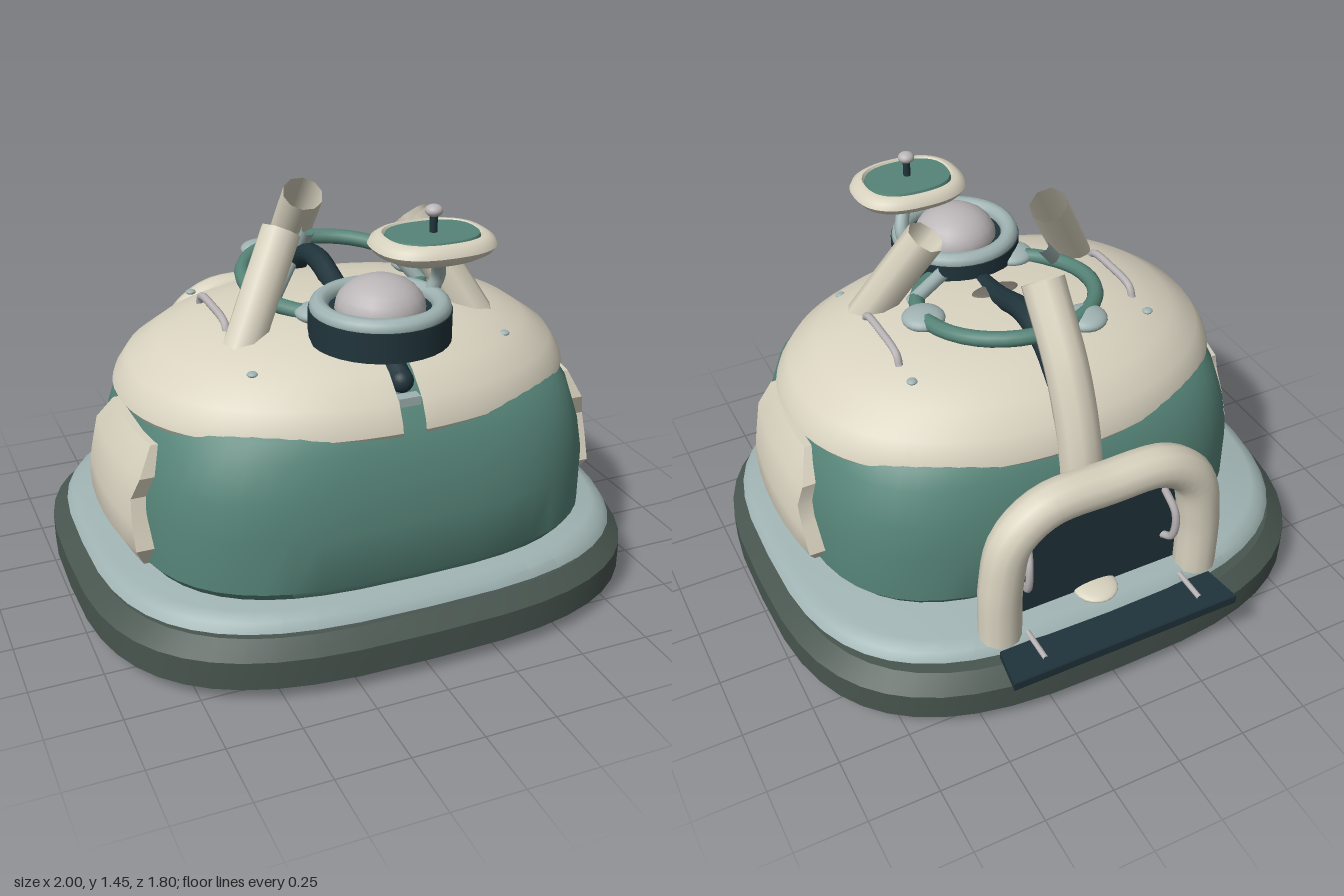
import * as THREE from 'three';
import { toCreasedNormals } from 'three/addons/utils/BufferGeometryUtils.js';

const CREAM = 0xd8d2bf, GREEN = 0x568478, PALE = 0x9fb3b2, NAVY = 0x20343b, BASE = 0x48554f, GREY = 0xbab5b6;
const V = (x, y, z) => new THREE.Vector3(x, y, z);

export function createModel() {
  const model = new THREE.Group();

  const add = (name, geo, color, pos = [0, 0, 0], open = false) => {
    const mat = new THREE.MeshStandardMaterial({ color, side: open ? THREE.DoubleSide : THREE.FrontSide });
    const mesh = new THREE.Mesh(geo, mat);
    mesh.name = name;
    mesh.position.set(...pos);
    model.add(mesh);
    return mesh;
  };

  // Indexed grid of points (rows x columns) turned into a surface
  const grid = (rows, cols, point, crease = 0.6) => {
    const p = [], idx = [];
    for (let i = 0; i < rows; i++) for (let j = 0; j < cols; j++) p.push(...point(i, j));
    for (let i = 0; i < rows - 1; i++) for (let j = 0; j < cols - 1; j++) {
      const a = i * cols + j, b = a + 1, c = a + cols, d = c + 1;
      idx.push(a, b, d, a, d, c);
    }
    const g = new THREE.BufferGeometry();
    g.setAttribute('position', new THREE.Float32BufferAttribute(p, 3));
    g.setIndex(idx);
    return toCreasedNormals(g, crease);
  };

  // Stacked superellipse rings: [y, rx, rz, exponent], centred on cz
  const loft = (rows, cz = 0, warp = p => p, seg = 48, crease = 0.6) => grid(rows.length, seg + 1, (i, j) => {
    const [y, rx, rz, n = 2] = rows[i], t = j / seg * Math.PI * 2;
    const s = Math.sin(t), c = Math.cos(t), e = 2 / n;
    const x = Math.sign(s) * Math.abs(s) ** e * rx, z = Math.sign(c) * Math.abs(c) ** e * rz;
    return warp([x, y, z + cz], j / seg);
  }, crease);

  const tube = (name, pts, r, color, sides = 10, open = false, seg = 24) =>
    add(name, new THREE.TubeGeometry(new THREE.CatmullRomCurve3(pts.map(p => V(...p))), seg, r, sides), color, [0, 0, 0], open);

  const ball = (name, r, color, pos, sy = 1) => {
    const m = add(name, new THREE.SphereGeometry(r, 20, 14), color, pos);
    m.scale.y = sy;
    return m;
  };

  // Base skirt, its pale rim and the hub underneath
  add('baseSkirt', loft([[0.02, 0.001, 0.001, 3], [0.02, 0.95, 0.83, 3], [0.05, 1, 0.875, 3], [0.15, 1, 0.875, 3],
    [0.2, 0.94, 0.82, 3], [0.2, 0.001, 0.001, 3]], 0.02), BASE);
  add('baseRim', loft([[0.2, 0.92, 0.79, 3], [0.23, 0.95, 0.82, 3], [0.26, 0.93, 0.805, 3], [0.28, 0.89, 0.77, 3],
    [0.285, 0.001, 0.001, 3]], 0.04), PALE);
  ball('bottomHub', 0.1, BASE, [0, 0.02, 0.02], 0.2);

  // Main hull
  add('hull', loft([[0.27, 0.79, 0.65, 3], [0.31, 0.82, 0.675, 3], [0.5, 0.82, 0.675, 3], [0.62, 0.8, 0.66, 3],
    [0.75, 0.76, 0.62, 3], [0.8, 0.73, 0.59, 2.8], [0.88, 0.66, 0.53, 2.4], [0.95, 0.54, 0.44, 2.2],
    [1, 0.38, 0.31, 2.2], [1.03, 0.001, 0.001]], 0.1), GREEN);

  // Upper shell, parted by a slot at the front
  const shell = [[0.77, 0.76], [0.775, 0.79], [0.79, 0.8], [0.82, 0.79], [0.88, 0.75], [0.95, 0.65], [1, 0.53],
    [1.03, 0.4], [1.05, 0.25], [1.06, 0.001]].map(([y, r]) => [y, r, r * 0.7625, 2.2]);
  add('upperShell', loft(shell, 0.1, ([x, y, z], u) => {
    const f = 0.04 * THREE.MathUtils.clamp((z - 0.1) / 0.25, 0, 1);
    return [u < 0.5 ? Math.max(x, f) : Math.min(x, -f), y, z];
  }, 64), CREAM, [0, 0, 0], true);
  add('slotStop', new THREE.BoxGeometry(0.075, 0.03, 0.04), PALE, [0, 0.875, 0.65]);

  // Ragged side panels: rows of [y, back z, front z, outer x]
  const panel = [[0.3, -0.12, 0.37, 0.84], [0.38, -0.18, 0.42, 0.885], [0.47, -0.14, 0.39, 0.88], [0.55, -0.1, 0.37, 0.87],
    [0.63, -0.11, 0.4, 0.85], [0.73, -0.03, 0.37, 0.795]];
  for (const s of [1, -1]) {
    const g = grid(panel.length + 2, 9, (i, j) => {
      const k = THREE.MathUtils.clamp(i - 1, 0, panel.length - 1), [y, z0, z1, x] = panel[k];
      const u = THREE.MathUtils.clamp((j - 1) / 6, 0, 1), z = z0 + (z1 - z0) * (s > 0 ? 1 - u : u);
      const edge = i === 0 || i === panel.length + 1 || j === 0 || j === 8;
      return [s * (edge ? 0.7 : x - 0.35 * (z - 0.1) ** 2), y, z];
    });
    add(s > 0 ? 'leftSidePanel' : 'rightSidePanel', g, CREAM, [0, 0, 0], true);
  }

  // Dark spine over the shell
  tube('spine', [[0, 0.92, 0.6], [0, 1, 0.4], [0, 1.04, 0.1], [0, 1.1, -0.12], [0, 1.06, -0.27], [0, 0.93, -0.4]], 0.04, NAVY);
  ball('spineTip', 0.04, NAVY, [0, 0.92, 0.6]);
  ball('shellPlug', 0.09, 0x6f6a62, [0, 1.055, 0.1], 0.12).scale.z = 0.45;

  // Open pipes, with thin struts and pads on the ring
  tube('rearPipe', [[0, 0.3, -0.53], [0, 0.6, -0.545], [0, 0.82, -0.52], [0, 1.05, -0.43], [0, 1.3, -0.25]], 0.075, CREAM, 10, true);
  tube('rearStrut', [[0, 1.18, -0.2], [0, 1.06, -0.3]], 0.025, PALE);
  for (const s of [1, -1]) {
    tube('frontPipe', [[s * 0.44, 0.94, 0.29], [s * 0.33, 1.14, 0.215], [s * 0.235, 1.31, 0.15]], 0.07, CREAM, 8, true);
    tube('frontStrut', [[s * 0.19, 1.18, 0.11], [s * 0.29, 1.05, 0.17]], 0.025, PALE);
    // Grab rails and bolts
    tube('grabRail', [[s * 0.45, 0.99, 0.21], [s * 0.45, 1.03, 0.19], [s * 0.45, 1.045, 0.06], [s * 0.45, 1.035, -0.07],
      [s * 0.45, 1, -0.09]], 0.014, GREY, 8);
    ball('frontBolt', 0.018, PALE, [s * 0.45, 0.958, 0.455], 0.5);
    ball('rearBolt', 0.018, PALE, [s * 0.45, 1.008, -0.195], 0.5);
  }
  const ring = add('topRing', new THREE.TorusGeometry(0.31, 0.028, 10, 40), GREEN, [0, 1.085, 0.015]);
  ring.rotation.x = Math.PI / 2 + 0.12;
  for (const [x, y, z] of [[0.31, 1.085, 0.02], [-0.16, 1.11, -0.26], [-0.16, 1.06, 0.28]]) ball('ringPad', 0.075, PALE, [x, y, z], 0.42);

  // Front turret
  add('turretDrum', new THREE.CylinderGeometry(0.235, 0.235, 0.1, 32), NAVY, [0, 1.06, 0.43]);
  const collar = add('turretCollar', new THREE.TorusGeometry(0.2, 0.032, 10, 36), PALE, [0, 1.115, 0.43]);
  collar.rotation.x = Math.PI / 2;
  ball('turretDome', 0.15, GREY, [0, 1.11, 0.43], 0.72);

  // Dish on a curved neck
  tube('dishNeck', [[0.19, 1.1, 0.39], [0.215, 1.18, 0.41], [0.19, 1.25, 0.45], [0.16, 1.3, 0.48]], 0.025, PALE);
  const dishRows = [[1.265, 0.001], [1.27, 0.09], [1.285, 0.15], [1.305, 0.19], [1.325, 0.205], [1.345, 0.195], [1.358, 0.175],
    [1.36, 0.16], [1.345, 0.15]].map(([y, r]) => [y, r, r * 0.82, 2.5]);
  add('dish', loft(dishRows, 0, undefined, 40, 0.9), CREAM, [0.155, 0, 0.48], true);
  add('dishInset', loft([[1.345, 0.155, 0.12, 2.5], [1.36, 0.15, 0.115, 2.5], [1.362, 0.001, 0.001, 2.5]]), GREEN, [0.155, 0, 0.48]);
  add('dishStem', new THREE.CylinderGeometry(0.013, 0.013, 0.07, 10), NAVY, [0.155, 1.39, 0.485]);
  ball('dishKnob', 0.029, GREY, [0.155, 1.432, 0.485], 0.7);

  // Rear doorway: arch, dark door, threshold and ramp
  tube('doorArch', [[-0.385, 0.27, -0.7], [-0.38, 0.5, -0.7], [-0.34, 0.68, -0.7], [-0.22, 0.775, -0.7], [0, 0.785, -0.7],
    [0.22, 0.775, -0.7], [0.34, 0.68, -0.7], [0.38, 0.5, -0.7], [0.385, 0.27, -0.7]], 0.075, CREAM, 12, true, 40);
  const door = new THREE.Shape();
  door.moveTo(-0.37, 0.28);
  door.lineTo(0.37, 0.28);
  door.lineTo(0.36, 0.55);
  door.quadraticCurveTo(0.34, 0.77, 0.18, 0.77);
  door.lineTo(-0.18, 0.77);
  door.quadraticCurveTo(-0.34, 0.77, -0.36, 0.55);
  add('door', new THREE.ExtrudeGeometry(door, { depth: 0.03, bevelEnabled: false }), NAVY, [0, 0, -0.66]);
  ball('threshold', 0.08, CREAM, [0, 0.285, -0.67], 0.25);
  const ramp = new THREE.Shape([[-0.43, 0.9], [0.43, 0.9], [0.41, 0.76], [-0.41, 0.76]].map(p => new THREE.Vector2(...p)).reverse());
  const rampGeo = new THREE.ExtrudeGeometry(ramp, { depth: 0.03, bevelEnabled: true, bevelSize: 0.003, bevelThickness: 0.005, bevelSegments: 1 });
  rampGeo.rotateX(-Math.PI / 2);
  add('ramp', rampGeo, NAVY, [0, 0.215, 0]);
  for (const s of [1, -1]) {
    tube('rampRail', [[s * 0.3, 0.27, -0.74], [s * 0.3, 0.27, -0.87]], 0.01, GREY, 8);
    tube('doorHandle', [[s * 0.27, 0.4, -0.65], [s * 0.28, 0.43, -0.7], [s * 0.28, 0.54, -0.71], [s * 0.26, 0.63, -0.65]], 0.014, GREY, 8);
  }
  return model;
}
